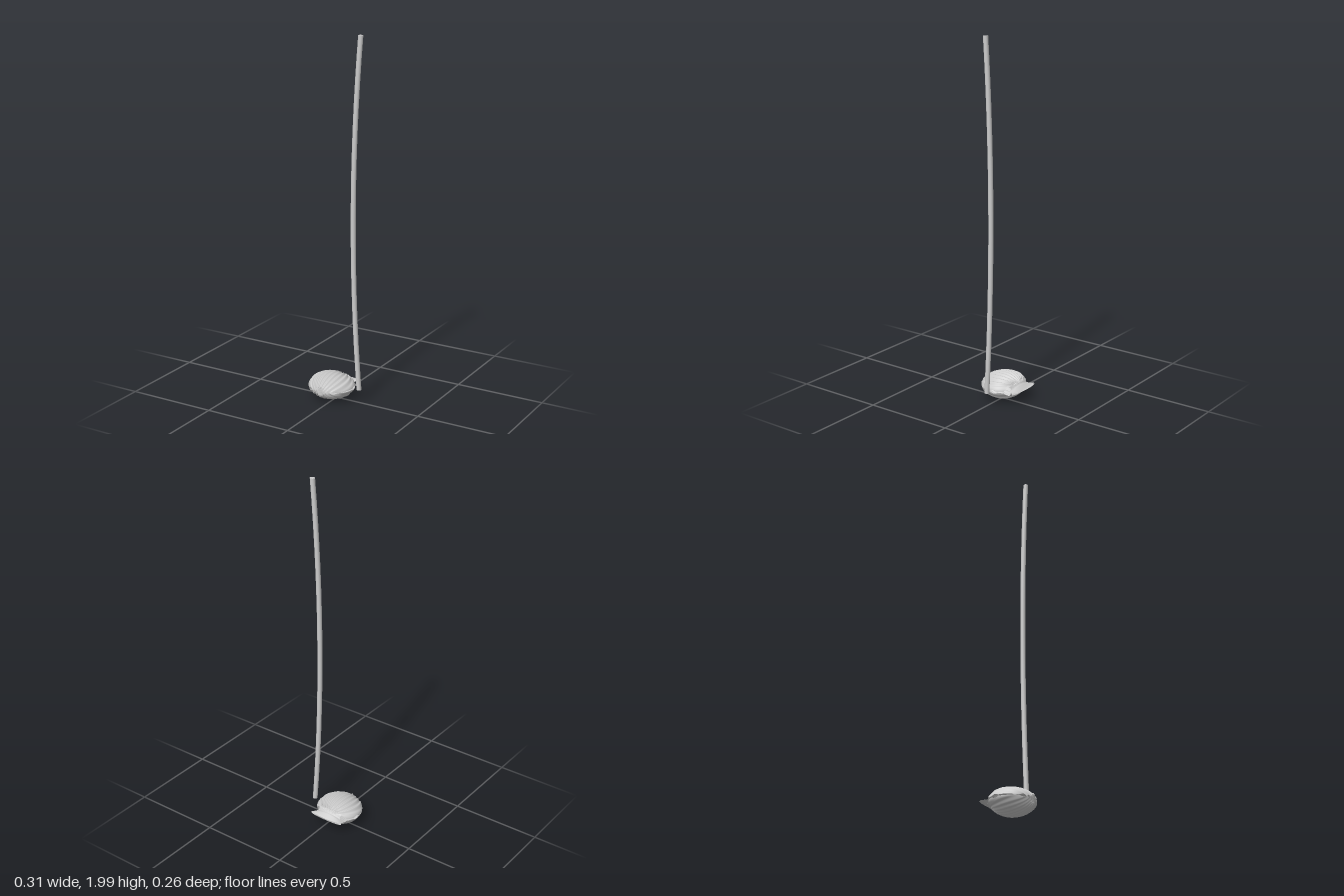
import * as THREE from 'three';

const material = new THREE.MeshStandardMaterial({ color: 0xcccccc, side: THREE.DoubleSide });

// Half outline of a valve (half width, z): hinge ears, neck, round body
const outline = new THREE.CurvePath();
outline.add(new THREE.SplineCurve([
  [0.104, -0.134], [0.086, -0.106], [0.072, -0.086], [0.088, -0.075], [0.108, -0.062], [0.122, -0.038],
  [0.13, 0],
].map(p => new THREE.Vector2(...p))));
outline.add(new THREE.EllipseCurve(0, 0, 0.13, 0.131, 0, Math.PI / 2));

// Height of a valve above its rim plane: ribbed dome blended with flat ears
function valveHeight(x, z, u) {
  const r2 = (x / 0.13) ** 2 + (z / (z > 0 ? 0.131 : 0.108)) ** 2;
  const dome = 0.064 * Math.max(0, 1 - r2) ** 0.6;
  const ear = 0.02 * (1 - u * u) * Math.min(1, Math.max(0, (z + 0.135) / 0.03));
  // ribs run front to back and arch together at the beak
  const w = 0.13 * Math.sqrt(Math.max(0, 1 - ((z - 0.022) / 0.119) ** 2));
  const q = w > 0.002 ? x / w : 2;
  const rib = Math.abs(q) < 1
    ? 0.0042 * Math.cos(10 * Math.PI * q) * Math.min(1, w / 0.06) * Math.min(1, (1 - Math.abs(q)) * 6) : 0;
  // the rims stand apart at the front and at the neck
  const gap = 0.003 + 0.007 * u ** 4 * Math.exp(-(((z + 0.085) / 0.016) ** 2));
  return Math.max(dome, ear) + rib + gap;
}

function valveGeometry() {
  const cols = 120, rows = 90;
  const geo = new THREE.PlaneGeometry(1, 1, cols, rows).rotateX(-Math.PI / 2);
  const pos = geo.attributes.position;
  for (let j = 0; j <= rows; j++) {
    const p = outline.getPoint(j / rows);
    for (let i = 0; i <= cols; i++) {
      const u = Math.sin((i / cols - 0.5) * Math.PI);
      const x = u * p.x;
      // the back edge is swept forward towards the ear tips
      const z = p.y + 0.012 * u * u * Math.min(1, Math.max(0, (-0.1 - p.y) / 0.034));
      pos.setXYZ(j * (cols + 1) + i, x, valveHeight(x, z, u), z);
    }
  }
  geo.computeVertexNormals();
  return geo;
}

function addMesh(parent, name, geo) {
  const mesh = new THREE.Mesh(geo, material);
  mesh.name = name;
  parent.add(mesh);
  return mesh;
}

export function createModel() {
  const group = new THREE.Group();

  // Two facing valves
  const shell = new THREE.Group();
  shell.name = 'shell';
  shell.position.set(-0.027, 0.077, 0);
  const geo = valveGeometry();
  addMesh(shell, 'upperValve', geo);
  addMesh(shell, 'lowerValve', geo).rotation.z = Math.PI;
  group.add(shell);

  // Tall rod, bowed towards the shell
  const rod = new THREE.CylinderGeometry(0.0135, 0.0135, 1.92, 20, 16);
  const pos = rod.attributes.position;
  for (let i = 0; i < pos.count; i++) {
    pos.setX(i, pos.getX(i) + 0.101 + 0.04 * (pos.getY(i) / 0.96) ** 2);
  }
  addMesh(group, 'rod', rod).position.y = 1.04;

  return group;
}
